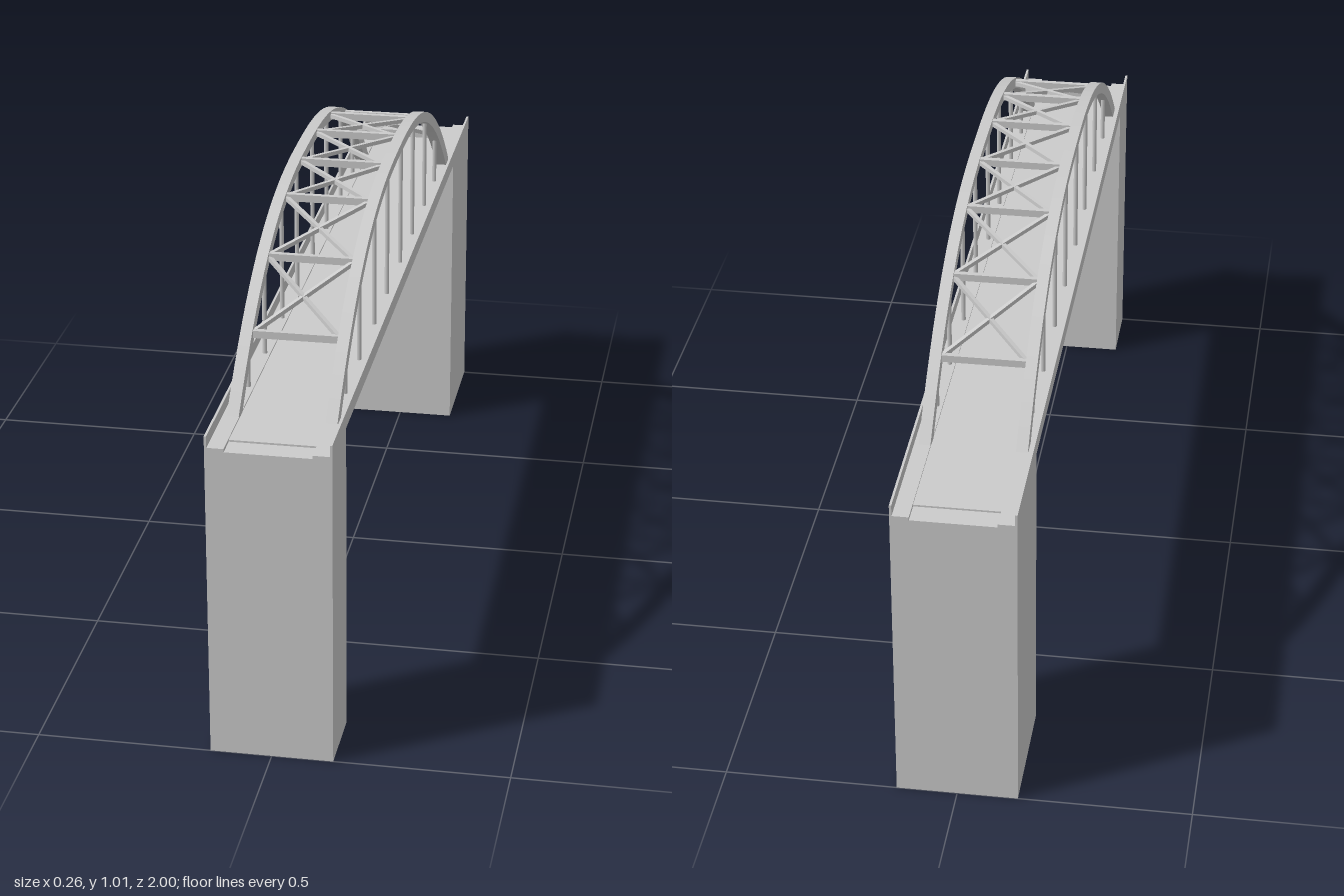
import * as THREE from 'three';

const grey = new THREE.MeshStandardMaterial({ color: 0xcccccc, side: THREE.DoubleSide });

const ARCH_Z = 0.0575;   // middle of the arch span
const ARCH_X = 0.102;    // centre line of each arch rib
const RIB_WIDTH = 0.025;
const PANEL_Z = [-0.58, -0.41, -0.22, -0.04, 0.15, 0.325, 0.52, 0.695];

// Upper and lower curves of the arch rib
const outerY = z => 1.015 - 0.556 * Math.abs(z - ARCH_Z) ** 2.55;
const innerY = z => 0.994 - 0.6 * Math.abs(z - ARCH_Z) ** 2.55;
const midY = z => (outerY(z) + innerY(z)) / 2;

function add(parent, name, geometry, x = 0, y = 0, z = 0) {
  const mesh = new THREE.Mesh(geometry, grey);
  mesh.name = name;
  mesh.position.set(x, y, z);
  parent.add(mesh);
  return mesh;
}

// Straight square bar between two points
function bar(parent, name, a, b, width, height) {
  const mesh = add(parent, name, new THREE.BoxGeometry(width, height, a.distanceTo(b)));
  mesh.position.addVectors(a, b).multiplyScalar(0.5);
  mesh.lookAt(b);
  return mesh;
}

// Hollow pier, open at the bottom
function pier(parent, name, z0, z1) {
  const w = 0.13, top = 0.69;
  const shape = new THREE.Shape([
    new THREE.Vector2(-w, -z1), new THREE.Vector2(w, -z1),
    new THREE.Vector2(w, -z0), new THREE.Vector2(-w, -z0),
  ]);
  const group = new THREE.Group();
  group.name = name;
  const depth = z1 - z0, mid = (z0 + z1) / 2;
  for (const s of [-1, 1]) {
    const end = add(group, 'pierEnd', new THREE.PlaneGeometry(2 * w, top), 0, top / 2, mid + s * depth / 2);
    if (s < 0) end.rotation.y = Math.PI;
    const side = add(group, 'pierSide', new THREE.PlaneGeometry(depth, top), s * w, top / 2, mid);
    side.rotation.y = s * Math.PI / 2;
  }
  add(group, 'pierTop', new THREE.ShapeGeometry(shape).rotateX(-Math.PI / 2), 0, top, 0);
  parent.add(group);
}

// Curved rib, thicker towards its feet
function archRib() {
  const N = 40, outerHalf = 0.797, innerHalf = 0.764;
  const pts = [];
  for (let i = 0; i <= N; i++) {
    const z = ARCH_Z + outerHalf * (2 * i / N - 1);
    pts.push(new THREE.Vector2(z, outerY(z)));
  }
  for (let i = N; i >= 0; i--) {
    const z = ARCH_Z + innerHalf * (2 * i / N - 1);
    pts.push(new THREE.Vector2(z, innerY(z)));
  }
  return new THREE.ExtrudeGeometry(new THREE.Shape(pts), { depth: RIB_WIDTH, bevelEnabled: false })
    .translate(0, 0, -RIB_WIDTH / 2)
    .rotateY(-Math.PI / 2);
}

export function createModel() {
  const bridge = new THREE.Group();
  bridge.name = 'archBridge';

  pier(bridge, 'frontPier', 0.84, 1);
  pier(bridge, 'backPier', -1, -0.72);

  // Deck trough with raised walkways and thin parapets
  const half = [[0.13, 0.69], [0.13, 0.725], [0.125, 0.725], [0.125, 0.7], [0.09, 0.7], [0.09, 0.693]];
  const profile = [...half, ...half.map(([x, y]) => [-x, y]).reverse()];
  const deck = new THREE.Shape(profile.map(([x, y]) => new THREE.Vector2(x, y)));
  add(bridge, 'deck', new THREE.ExtrudeGeometry(deck, { depth: 2, bevelEnabled: false }), 0, 0, -1);
  add(bridge, 'roadway', new THREE.BoxGeometry(0.18, 0.004, 1.9), 0, 0.695, 0);

  // Ribs, edge pipes and hangers on both sides
  for (const s of [-1, 1]) {
    add(bridge, 'archRib', archRib(), s * ARCH_X, 0, 0);
    add(bridge, 'edgePipe', new THREE.CylinderGeometry(0.007, 0.007, 1.56, 10).rotateX(Math.PI / 2),
      s * 0.118, 0.686, 0.06);
    for (const z of PANEL_Z) {
      const h = midY(z) - 0.695;
      add(bridge, 'hanger', new THREE.CylinderGeometry(0.005, 0.005, h, 8), s * ARCH_X, 0.695 + h / 2, z);
    }
  }

  // Cross beams and diagonal bracing between the ribs
  const node = (s, z) => new THREE.Vector3(s * 0.093, midY(z), z);
  PANEL_Z.forEach((z, i) => {
    bar(bridge, 'crossBeam', node(-1, z), node(1, z), 0.012, 0.016);
    if (i === 0) return;
    for (const s of [-1, 1]) {
      bar(bridge, 'diagonalBrace', node(s, PANEL_Z[i - 1]), node(-s, z), 0.009, 0.009);
    }
  });

  return bridge;
}
